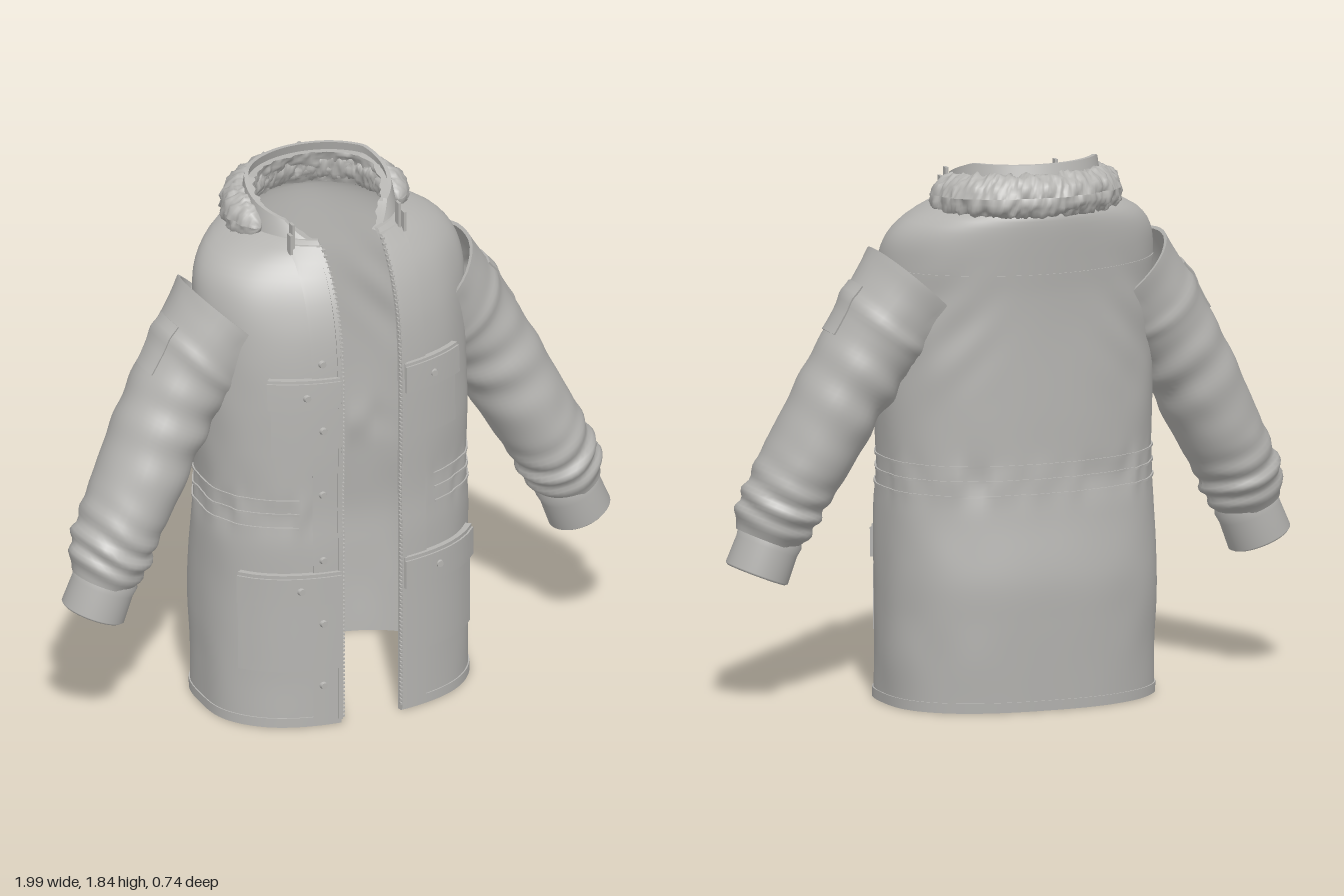
import * as THREE from 'three';
import { mergeGeometries } from 'three/addons/utils/BufferGeometryUtils.js';

const cloth = new THREE.MeshStandardMaterial({ color: 0xb5b4b1, side: THREE.DoubleSide });
cloth.name = 'grey cloth';

// Smooth interpolation of rows [key, a, b, ...]
function sample(rows, k) {
  let i = 0;
  while (i < rows.length - 2 && k > rows[i + 1][0]) i++;
  const A = rows[i], B = rows[i + 1], P = rows[Math.max(i - 1, 0)], N = rows[Math.min(i + 2, rows.length - 1)];
  const h = B[0] - A[0], t = THREE.MathUtils.clamp((k - A[0]) / h, 0, 1), t2 = t * t, t3 = t2 * t;
  return A.slice(1).map((a, j) => {
    const b = B[j + 1], m0 = (b - P[j + 1]) / (B[0] - P[0]) * h, m1 = (N[j + 1] - a) / (N[0] - A[0]) * h;
    return (2 * t3 - 3 * t2 + 1) * a + (t3 - 2 * t2 + t) * m0 + (3 * t2 - 2 * t3) * b + (t3 - t2) * m1;
  });
}

// Smooth lattice noise in -1..1
const hash = (x, y, z) => { const s = Math.sin(x * 127.1 + y * 311.7 + z * 74.7) * 43758.5453; return (s - Math.floor(s)) * 2 - 1; };
function noise(x, y, z) {
  const c = [x, y, z].map(Math.floor), f = [x, y, z].map((v, i) => { const t = v - c[i]; return t * t * (3 - 2 * t); });
  let sum = 0;
  for (let k = 0; k < 8; k++) {
    const d = [k & 1, (k >> 1) & 1, k >> 2];
    sum += hash(c[0] + d[0], c[1] + d[1], c[2] + d[2]) * d.reduce((p, b, i) => p * (b ? f[i] : 1 - f[i]), 1);
  }
  return sum;
}
const bump = (v, mid, width) => Math.exp(-(((v - mid) / width) ** 2));
const lerp = THREE.MathUtils.lerp;

// Slab whose u, v and depth (each 0..1) are bent by a rule
function mould(name, nu, nv, rule) {
  const g = new THREE.BoxGeometry(1, 1, 1, nu, nv, 1), p = g.attributes.position;
  for (let i = 0; i < p.count; i++) p.setXYZ(i, ...rule(p.getX(i) + 0.5, p.getY(i) + 0.5, p.getZ(i) + 0.5));
  g.computeVertexNormals();
  const m = new THREE.Mesh(g, cloth);
  m.name = name;
  return m;
}

// Torso sections: height, half width, front z, back z, roundness
const TORSO = [
  [0, 0.468, 0.345, -0.31, 0.82], [0.3, 0.471, 0.345, -0.33, 0.83], [0.45, 0.472, 0.345, -0.335, 0.84],
  [0.65, 0.47, 0.345, -0.312, 0.85], [0.78, 0.463, 0.34, -0.302, 0.86], [1.0, 0.472, 0.345, -0.305, 0.88],
  [1.25, 0.472, 0.345, -0.308, 0.93], [1.4, 0.475, 0.335, -0.315, 1], [1.5, 0.478, 0.313, -0.326, 1.06],
  [1.58, 0.458, 0.28, -0.335, 1.08], [1.64, 0.405, 0.24, -0.34, 1.06], [1.68, 0.325, 0.208, -0.338, 1], [1.7, 0.265, 0.185, -0.325, 1]];
const GAP = 0.11;

function torso(t, y, off) {
  const [w, f, b, p] = sample(TORSO, y), s = Math.sin(t), c = Math.cos(t);
  return [(w + off) * Math.sign(s) * Math.abs(s) ** p, y, (f + b) / 2 + ((f - b) / 2 + off) * Math.sign(c) * Math.abs(c) ** p];
}
function angleAt(x, y) {
  const [w, , , p] = sample(TORSO, y);
  return Math.sign(x) * Math.asin(Math.min(1, Math.abs(x) / w) ** (1 / p));
}
// Push a point that lies inside the torso out into the thickness of its wall
function keepOutside([x, y, z]) {
  const [w, f, b, p] = sample(TORSO, y), mid = (f + b) / 2;
  const k = ((Math.abs(x) / (w - 0.009)) ** (2 / p) + (Math.abs(z - mid) / ((f - b) / 2 - 0.009)) ** (2 / p)) ** (p / 2);
  return k < 1 ? [x / k, y, mid + (z - mid) / k] : [x, y, z];
}
// Gathers at the waist and soft diagonal folds in the cloth
function folds(t, y) {
  const side = Math.abs(Math.sin(t)), back = Math.max(0, -Math.cos(t));
  const gather = 0.009 * noise(t * 10, y * 3, 2) * bump(y, 0.78, 0.06);
  const drag = 0.006 * Math.sin(30 * (y + 0.55 * side)) * bump(y, 1.28, 0.16) * bump(side, 0.7, 0.25) * back;
  return gather + drag + 0.004 * noise(t * 3, y * 6, 7) * side;
}
// Panel lying on the front of the torso
const panel = (name, x0, x1, y0, y1, lift) => mould(name, 8, Math.max(3, Math.ceil((y1 - y0) * 24)), (u, v, d) => {
  const y = lerp(y0, y1, v);
  return torso(angleAt(lerp(x0, x1, u), y), y, lerp(-0.004, lift, d));
});
// Narrow band running round the torso
const band = (name, y0, y1, lift, from) => mould(name, 120, 1, (u, v, d) => {
  const y = lerp(y0, y1, v), t0 = Math.max(from, angleAt(GAP, y)), t = lerp(t0, 2 * Math.PI - t0, u);
  return torso(t, y, folds(t, y) + lerp(-0.004, lift, d));
});

function stud(name, x, y, lift) {
  const m = new THREE.Mesh(new THREE.CylinderGeometry(0.011, 0.014, 0.012, 16), cloth);
  m.name = name;
  m.rotation.x = Math.PI / 2;
  m.position.set(...torso(angleAt(x, y), y, lift));
  return m;
}

// Sleeve stations: path parameter, x, y, z, radius in plan, radius along z
const SLEEVE = [
  [0, 0.36, 1.405, -0.015, 0.205, 0.215], [0.1, 0.415, 1.345, -0.012, 0.187, 0.196], [0.25, 0.505, 1.235, -0.01, 0.165, 0.175],
  [0.42, 0.598, 1.095, 0, 0.152, 0.168], [0.62, 0.703, 0.895, 0.025, 0.145, 0.165], [0.8, 0.795, 0.725, 0.048, 0.137, 0.152],
  [0.92, 0.838, 0.63, 0.06, 0.132, 0.14], [1, 0.863, 0.57, 0.068, 0.105, 0.11]];
function sleevePoint(s, a, off) {
  const [x, y, z, r, rz] = sample(SLEEVE, s), A = sample(SLEEVE, Math.max(0, s - 0.03)), B = sample(SLEEVE, Math.min(1, s + 0.03));
  const dir = new THREE.Vector2(B[0] - A[0], B[1] - A[1]).normalize();
  const inner = 0.5 - 0.5 * Math.cos(a), wave = 0.25 * Math.sin(a * 2 + 1);
  const o = off + 0.009 * Math.sin(s * 75 + wave * 5) * bump(s, 0.86, 0.1)
    + 0.009 * Math.sin(s * 42 + a) * bump(s, 0.42, 0.13) * (0.4 + 0.6 * inner)
    + 0.008 * bump(s + wave * 0.05, 0.2, 0.025) + 0.003 * noise(s * 12, Math.cos(a) * 2, Math.sin(a) * 2);
  const n = Math.cos(a) * (r + o);
  return keepOutside([x - dir.y * n, y + dir.x * n, z + Math.sin(a) * (rz + o)]);
}

function buildSleeve(side) {
  const g = new THREE.Group();
  g.name = side > 0 ? 'leftSleeve' : 'rightSleeve';
  g.add(mould('sleeve', 36, 64, (u, v, d) => sleevePoint(1 - v, Math.PI * (1 - 2 * u), -0.012 * (1 - d))));
  // Open knitted cuff
  const profile = [[0.09, 0.1], [0.092, -0.055], [0.102, -0.062], [0.11, -0.055], [0.107, 0.04], [0.112, 0.07], [0.1, 0.1]];
  const cuff = new THREE.Mesh(new THREE.LatheGeometry(profile.map(p => new THREE.Vector2(...p)), 40), cloth);
  cuff.name = 'cuff';
  cuff.position.set(0.873, 0.51, 0.07);
  cuff.rotation.z = 0.38;
  g.add(cuff);
  // Badge panel on the upper arm
  g.add(mould('armPatch', 8, 10, (u, v, d) => sleevePoint(lerp(0.315, 0.14, v), lerp(0.34, -0.32, u), lerp(-0.004, 0.006, d))));
  g.scale.x = side;
  return g;
}

// Standing collar surface: u round the neck, v upward
function collarPoint(u, v, off, rise = 1) {
  const t0 = lerp(0.45, 0.85, v), t = lerp(t0, 2 * Math.PI - t0, u), back = 0.5 - 0.5 * Math.cos(t);
  const top = 1.725 + 0.115 * Math.min(1, back * 1.35);
  return [(lerp(0.268, 0.252, v) + off) * Math.sin(t), lerp(1.685, top, v * rise),
    -0.07 + (lerp(0.255, 0.208, v) + off) * Math.cos(t)];
}

export function createModel() {
  const coat = new THREE.Group();
  coat.name = 'parka';

  coat.add(mould('body', 120, 84, (u, v, d) => {
    const y = 1.7 * v, t0 = angleAt(GAP, y), t = lerp(t0, 2 * Math.PI - t0, u);
    return torso(t, y, folds(t, y) - 0.016 * (1 - d));
  }));
  coat.add(band('hem', 0.002, 0.035, 0.004, 0));
  for (const y of [0.73, 0.78, 0.83]) coat.add(band('waistCord', y - 0.004, y + 0.004, 0.005, 0.5));
  coat.add(mould('backYokeSeam', 60, 1, (u, v, d) => {
    const t = lerp(1.9, 4.38, u), y = 1.47 + 0.008 * v;
    return torso(t, y, folds(t, y) + lerp(-0.004, 0.003, d));
  }));

  for (const side of [1, -1]) {
    const strip = (name, a, b, ...rest) => panel(name, ...(side > 0 ? [a, b] : [-b, -a]), ...rest);
    coat.add(buildSleeve(side));
    // Front facing and zip
    coat.add(strip('placket', GAP, 0.205, 0.01, 1.69, 0.007));
    coat.add(strip('zipTape', GAP - 0.004, GAP + 0.012, 0.02, 1.69, 0.014));
    const teeth = [];
    for (let y = 0.03; y < 1.68; y += 0.015) {
      const [x, , z] = torso(angleAt(side * GAP, y), y, 0.008);
      teeth.push(new THREE.BoxGeometry(0.012, 0.007, 0.012).translate(x - side * 0.004, y, z));
    }
    const zip = new THREE.Mesh(mergeGeometries(teeth), cloth);
    zip.name = 'zipTeeth';
    coat.add(zip);
    // Chest and hip pockets with flaps
    coat.add(strip('chestPocket', 0.12, 0.33, 1.0, 1.23, 0.012));
    coat.add(strip('chestFlap', 0.115, 0.335, 1.175, 1.27, 0.026));
    coat.add(strip('chestFlapEdge', 0.115, 0.335, 1.262, 1.28, 0.02));
    coat.add(stud('chestStud', side * 0.22, 1.22, 0.028));
    coat.add(strip('hipPocket', 0.115, 0.415, 0.21, 0.52, 0.013));
    coat.add(strip('hipFlap', 0.112, 0.413, 0.455, 0.555, 0.025));
    coat.add(strip('hipFlapEdge', 0.112, 0.413, 0.545, 0.567, 0.019));
    coat.add(stud('hipStud', side * 0.24, 0.51, 0.027));
    // Upright zip ends at the collar
    for (const [dx, h] of [[0, 0.1], [0.014, 0.07]]) {
      const post = new THREE.Mesh(new THREE.BoxGeometry(0.01, h, 0.025), cloth);
      post.name = 'zipEnd';
      post.position.set(side * (0.195 + dx), 1.67 + h / 2, 0.14 + dx);
      coat.add(post);
    }
  }
  for (const y of [0.15, 0.38, 0.61, 0.85, 1.09, 1.33]) coat.add(stud('placketStud', -0.17, y, y === 0.38 || y === 1.09 ? 0.016 : 0.01));

  // Collar, its fleece lining and the fur roll outside
  coat.add(mould('collar', 80, 8, (u, v, d) => collarPoint(u, v, -0.014 * (1 - d))));
  coat.add(mould('collarLining', 120, 14, (u, v, d) => {
    const p = collarPoint(u, v, -0.014, 0.82), n = noise(p[0] * 45, p[1] * 45, p[2] * 45);
    return collarPoint(u, v, d ? -0.01 : -0.032 + 0.012 * n, 0.82);
  }));
  coat.add(mould('furRoll', 180, 24, (u, v, d) => {
    const t = lerp(1.2, 2 * Math.PI - 1.2, u), a = v * Math.PI * 2, back = 0.5 - 0.5 * Math.cos(t);
    const size = Math.min(1, Math.sqrt(Math.max(0, Math.sin(Math.PI * u)) * 3.5)) * (d ? 1 : 0.8);
    const q = [Math.sin(t) * 11 + Math.cos(a) * 2, Math.sin(a) * 2.6, Math.cos(t) * 11];
    const k = size * (1 + 0.13 * noise(...q) + 0.15 * noise(q[0] * 2.3, q[1] * 2.3, q[2] * 2.3));
    const r = 0.054 * k * Math.cos(a) - 0.014 * k * Math.sin(a);
    return [(0.272 + r) * Math.sin(t), lerp(1.7, 1.745, back) + 0.068 * k * Math.sin(a), -0.07 + (0.252 + r) * Math.cos(t)];
  }));
  return coat;
}
